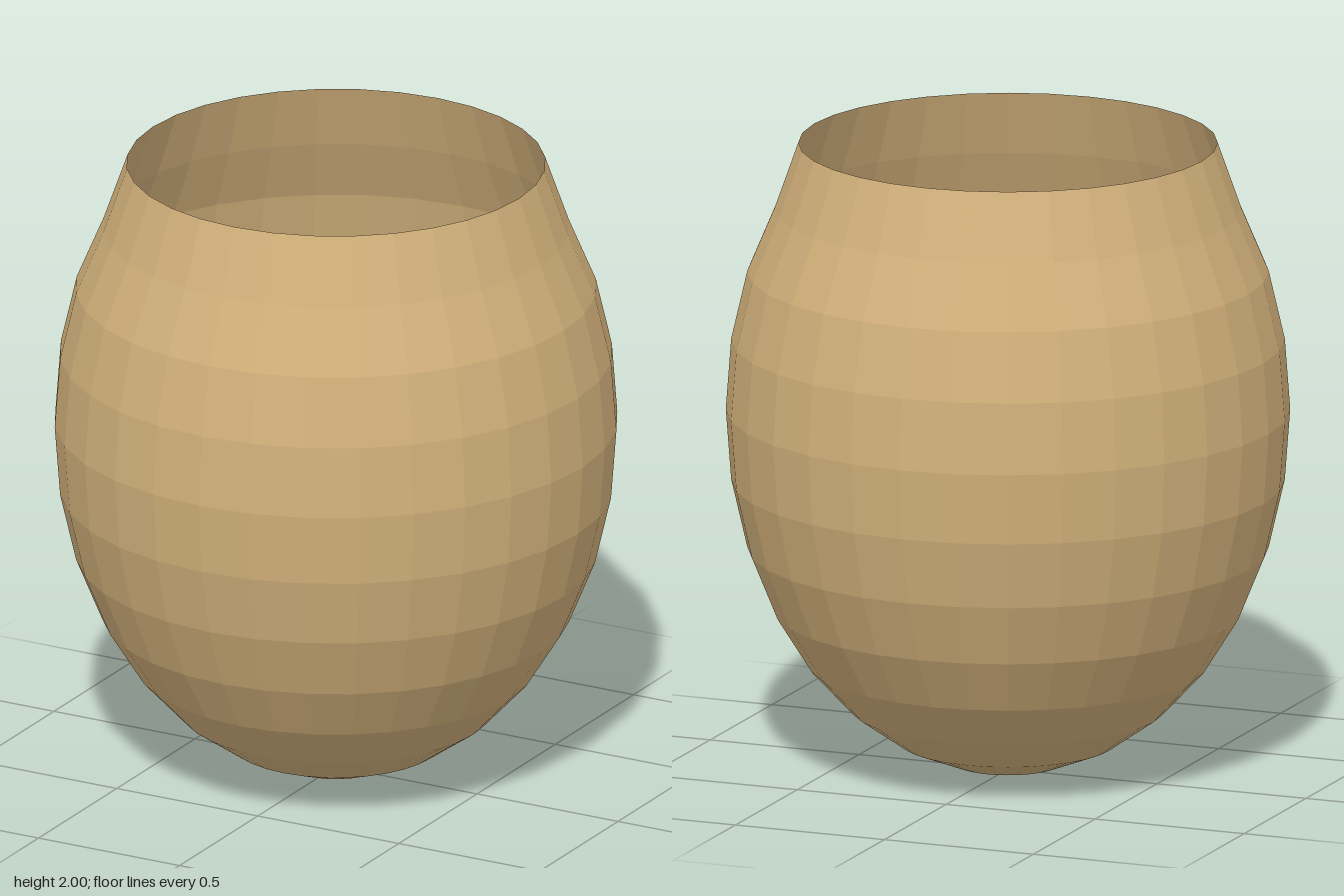
import * as THREE from 'three';

export function createModel() {
  const group = new THREE.Group();
  const segments = 32, radius = 0.875, halfHeight = 1.15;

  // Rounded egg profile from the bottom pole up, in equal angle steps
  const profile = [];
  for (let i = 0; i <= 10; i++) {
    const a = (i * Math.PI) / 16;
    profile.push(new THREE.Vector2(radius * Math.sin(a), halfHeight * (1 - Math.cos(a))));
  }
  // Straighter shoulder up to the open rim
  profile.push(new THREE.Vector2(0.724, 1.79), new THREE.Vector2(0.65, 2));

  // Thin open shell, seen from inside and outside
  const bowl = new THREE.Mesh(
    new THREE.LatheGeometry(profile, segments),
    new THREE.MeshStandardMaterial({ color: 0xd2b17b, flatShading: true, side: THREE.DoubleSide })
  );
  bowl.name = 'bowl';
  group.add(bowl);
  return group;
}
